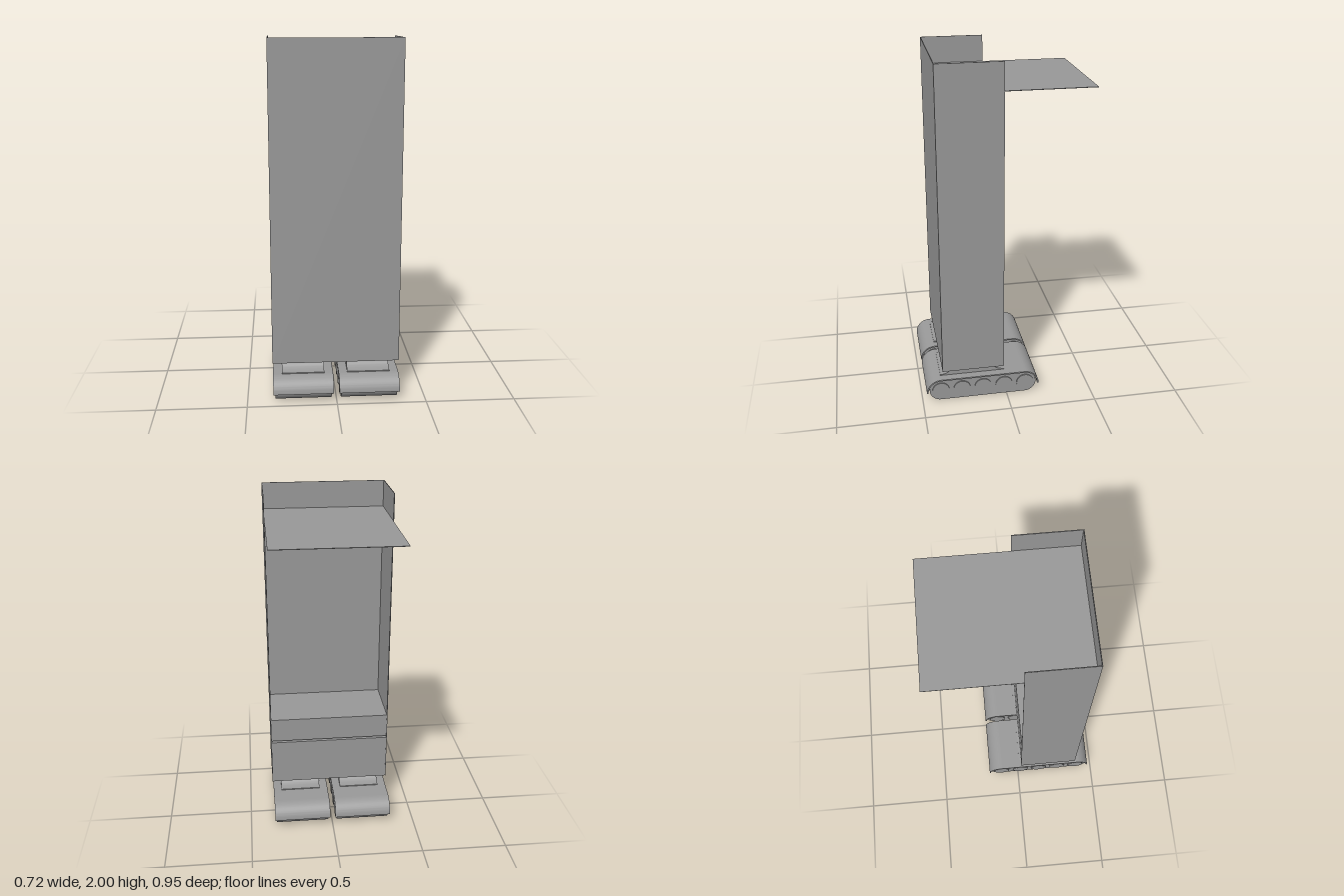
import * as THREE from 'three';
import { toCreasedNormals } from 'three/addons/utils/BufferGeometryUtils.js';

const grey = new THREE.MeshStandardMaterial({ color: 0x999999 });
grey.name = 'plain grey';

function add(parent, name, geometry, x = 0, y = 0, z = 0) {
  const mesh = new THREE.Mesh(geometry, grey);
  mesh.name = name;
  mesh.position.set(x, y, z);
  parent.add(mesh);
  return mesh;
}

// Box given by its limits on each axis
function slab(parent, name, x0, x1, y0, y1, z0, z1) {
  add(parent, name, new THREE.BoxGeometry(x1 - x0, y1 - y0, z1 - z0),
    (x0 + x1) / 2, (y0 + y1) / 2, (z0 + z1) / 2);
}

// Side profile drawn in (z, y), extruded evenly about x = 0
function sideExtrude(shape, width) {
  const g = new THREE.ExtrudeGeometry(shape, { depth: width, bevelEnabled: false, curveSegments: 16 });
  g.translate(0, 0, -width / 2);
  g.rotateY(-Math.PI / 2);
  return toCreasedNormals(g, 0.6);
}

const FRONT = 0.392, REAR = -0.11, AXLE = 0.07;

// Rounded belt loop around the wheels
function beltShape() {
  const r = 0.066, s = new THREE.Shape();
  s.moveTo(REAR, AXLE - r);
  s.lineTo(FRONT, AXLE - r);
  s.absarc(FRONT, AXLE, r, -Math.PI / 2, Math.PI / 2, false);
  s.lineTo(REAR, AXLE + r);
  s.absarc(REAR, AXLE, r, Math.PI / 2, Math.PI * 1.5, false);
  return s;
}

// Thin fender over the belt, open underneath
function fenderShape() {
  const y = 0.058, R = 0.087, r = 0.079, s = new THREE.Shape();
  s.moveTo(FRONT + R - 0.004, y);
  s.absarc(FRONT - 0.004, y, R, 0, Math.PI / 2, false);
  s.absarc(REAR + 0.004, y, R, Math.PI / 2, Math.PI, false);
  s.lineTo(REAR + 0.004 - r, y);
  s.absarc(REAR + 0.004, y, r, Math.PI, Math.PI / 2, true);
  s.absarc(FRONT - 0.004, y, r, Math.PI / 2, 0, true);
  return s;
}

// Ankle block flaring out where it meets the fender
function ankleShape() {
  const s = new THREE.Shape();
  s.moveTo(0.01, 0.142);
  s.lineTo(0.39, 0.142);
  s.lineTo(0.39, 0.15);
  s.quadraticCurveTo(0.322, 0.155, 0.32, 0.206);
  s.lineTo(0.08, 0.206);
  s.quadraticCurveTo(0.078, 0.155, 0.01, 0.15);
  return s;
}

function makeTrack(name, x) {
  const track = new THREE.Group();
  track.name = name;
  track.position.x = x;
  add(track, 'belt', sideExtrude(beltShape(), 0.316));
  add(track, 'fender', sideExtrude(fenderShape(), 0.338));
  add(track, 'ankle', sideExtrude(ankleShape(), 0.24));
  // Five wheels run through the belt and show on both sides
  for (let i = 0; i < 5; i++) {
    const wheel = new THREE.CylinderGeometry(0.05, 0.05, 0.33, 32);
    wheel.rotateZ(Math.PI / 2);
    add(track, 'wheel', wheel, 0, AXLE, THREE.MathUtils.lerp(FRONT, REAR, i / 4));
  }
  return track;
}

export function createModel() {
  const model = new THREE.Group();
  model.name = 'trackedCabinet';

  // Tall cabinet, open at the top and upper back
  const cabinet = new THREE.Group();
  cabinet.name = 'cabinet';
  slab(cabinet, 'frontPanel', -0.358, 0.358, 0.205, 2, 0.376, 0.38);
  for (const s of [-1, 1]) {
    const a = s * 0.354, b = s * 0.358;
    slab(cabinet, 'sidePanel', Math.min(a, b), Math.max(a, b), 0.205, 2, 0.02, 0.376);
  }
  // Base and drawer, parted by a narrow slot
  slab(cabinet, 'base', -0.354, 0.354, 0.205, 0.482, 0.022, 0.376);
  slab(cabinet, 'drawer', -0.354, 0.354, 0.494, 0.638, 0.022, 0.376);
  // Flat canopy reaching out behind
  slab(cabinet, 'canopy', -0.354, 0.354, 1.845, 1.848, -0.475, 0.376);
  model.add(cabinet);

  model.add(makeTrack('leftTrack', 0.184), makeTrack('rightTrack', -0.186));
  return model;
}
